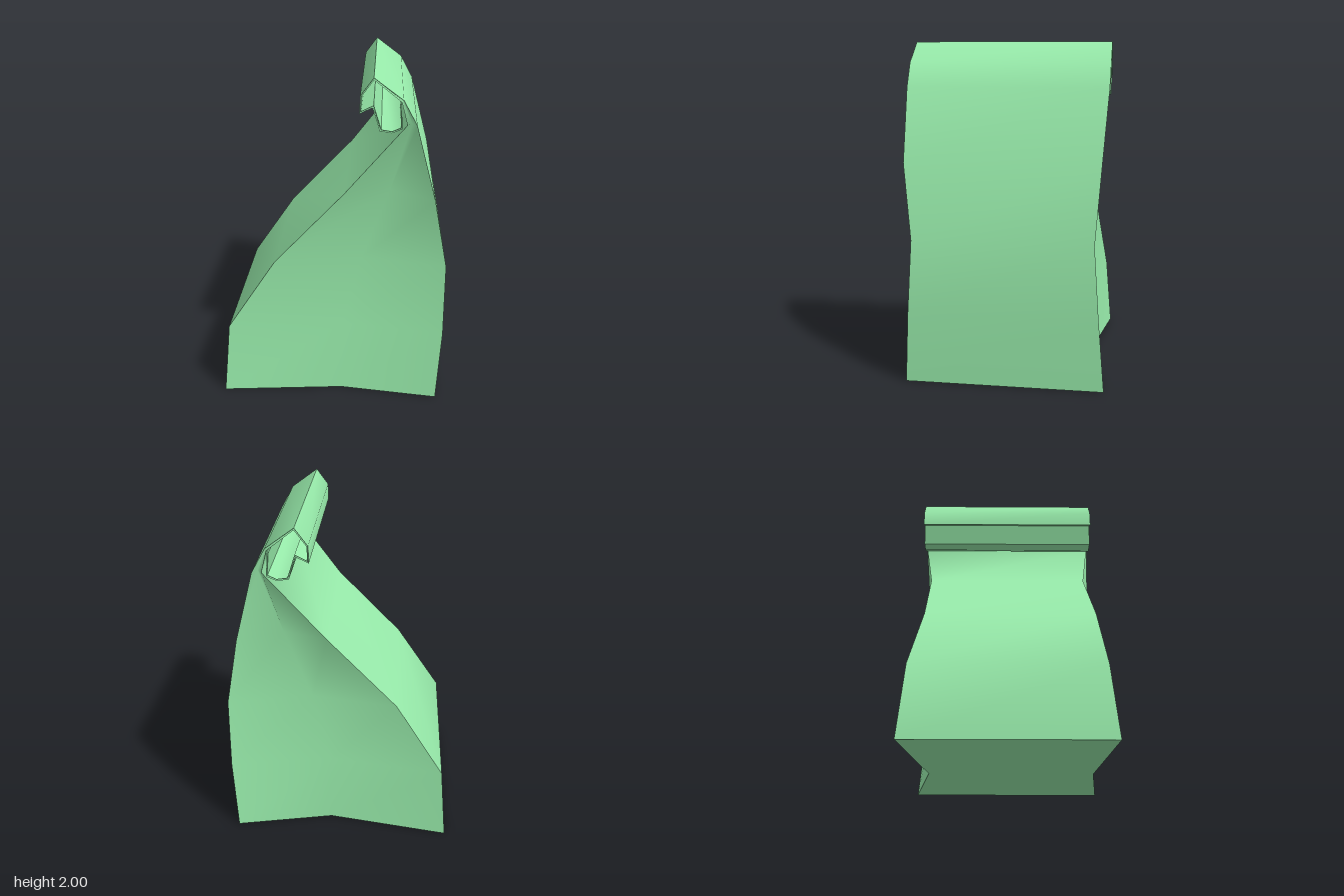
import * as THREE from 'three';
import { toCreasedNormals } from 'three/addons/utils/BufferGeometryUtils.js';

// Bag levels: height, then [x, z at the front, z at the back] of the
// outer panel (a), the inner panel (b) and the fold between them (m)
const LEVELS = [
  { y: 0.0, a: [0.64, 0.588, -0.59], b: [-0.67, 0.585, -0.59], m: [0.055, 0.515, -0.47] },
  { y: 0.437, a: [0.668, 0.56, -0.555], b: [-0.632, 0.55, -0.555], m: [0.06, 0.47, -0.44] },
  { y: 0.873, a: [0.668, 0.53, -0.525], b: [-0.343, 0.53, -0.5], m: [0.17, 0.43, -0.41] },
  { y: 1.31, a: [0.583, 0.588, -0.555], b: [0.07, 0.508, -0.508], m: [0.33, 0.43, -0.42] },
  { y: 1.74, a: [0.467, 0.588, -0.585], b: [0.413, 0.58, -0.58], m: [0.44, 0.54, -0.54] },
];

// Rolled top: the two paper layers, outer [x, y] and inner [x, y]
const ROLL = [
  [0.39, 1.88, 0.379, 1.87], [0.228, 2.0, 0.229, 1.988], [0.155, 1.9, 0.163, 1.898],
  [0.153, 1.803, 0.161, 1.816], [0.223, 1.838, 0.229, 1.85], [0.263, 1.708, 0.272, 1.716],
  [0.33, 1.698, 0.33, 1.707], [0.387, 1.722, 0.379, 1.729], [0.378, 1.855, 0.37, 1.855],
];

// Six-point rings, counter-clockwise seen from above
function makeRings() {
  const rings = LEVELS.map(({ y, a, b, m }) => [
    [a[0], y, a[1]], [a[0], y, a[2]], [m[0], y, m[2]],
    [b[0], y, b[2]], [b[0], y, b[1]], [m[0], y, m[1]],
  ]);
  const z = 0.588, fold = 0.575;
  for (const [ox, oy, ix, iy] of ROLL) {
    const mx = (ox + ix) / 2, my = (oy + iy) / 2;
    rings.push([
      [ox, oy, z], [ox, oy, -z], [mx, my, -fold],
      [ix, iy, -z], [ix, iy, z], [mx, my, fold],
    ]);
  }
  return rings;
}

// Surface through the chosen ring corners, from the bottom to the end of the roll
function strip(rings, corners) {
  const n = corners.length, index = [];
  const pos = rings.flatMap((r) => corners.flatMap((c) => r[c]));
  for (let j = 0; j < rings.length - 1; j++) {
    for (let i = 0; i < n - 1; i++) {
      const p = j * n + i, q = p + n;
      index.push(p, p + 1, q + 1, p, q + 1, q);
    }
  }
  const g = new THREE.BufferGeometry();
  g.setAttribute('position', new THREE.Float32BufferAttribute(pos, 3));
  g.setIndex(index);
  g.computeVertexNormals();
  return g;
}

// Flat cap over a ring, split along the line between the two folds
function cap(ring, down) {
  const tris = [0, 1, 2, 0, 2, 5, 5, 2, 3, 5, 3, 4];
  if (down) tris.reverse();
  const g = new THREE.BufferGeometry();
  g.setAttribute('position', new THREE.Float32BufferAttribute(ring.flat(), 3));
  g.setIndex(tris);
  g.computeVertexNormals();
  return g;
}

export function createModel() {
  const group = new THREE.Group();
  group.name = 'paperBag';
  const paper = new THREE.MeshStandardMaterial({ color: 0x98ecab, side: THREE.DoubleSide });
  const rings = makeRings();
  const add = (name, geometry) => {
    const mesh = new THREE.Mesh(geometry, paper);
    mesh.name = name;
    group.add(mesh);
  };

  // Wide panels, creased only at the sharp bends of the roll
  add('outerPanel', toCreasedNormals(strip(rings, [0, 1]), 1));
  add('innerPanel', toCreasedNormals(strip(rings, [3, 4]), 1));

  // Side walls folded inwards
  add('backGusset', strip(rings, [1, 2, 3]));
  add('frontGusset', strip(rings, [4, 5, 0]));

  // Base and the closed end of the roll
  add('base', cap(rings[0], true));
  add('rollEnd', cap(rings[rings.length - 1], false));
  return group;
}
